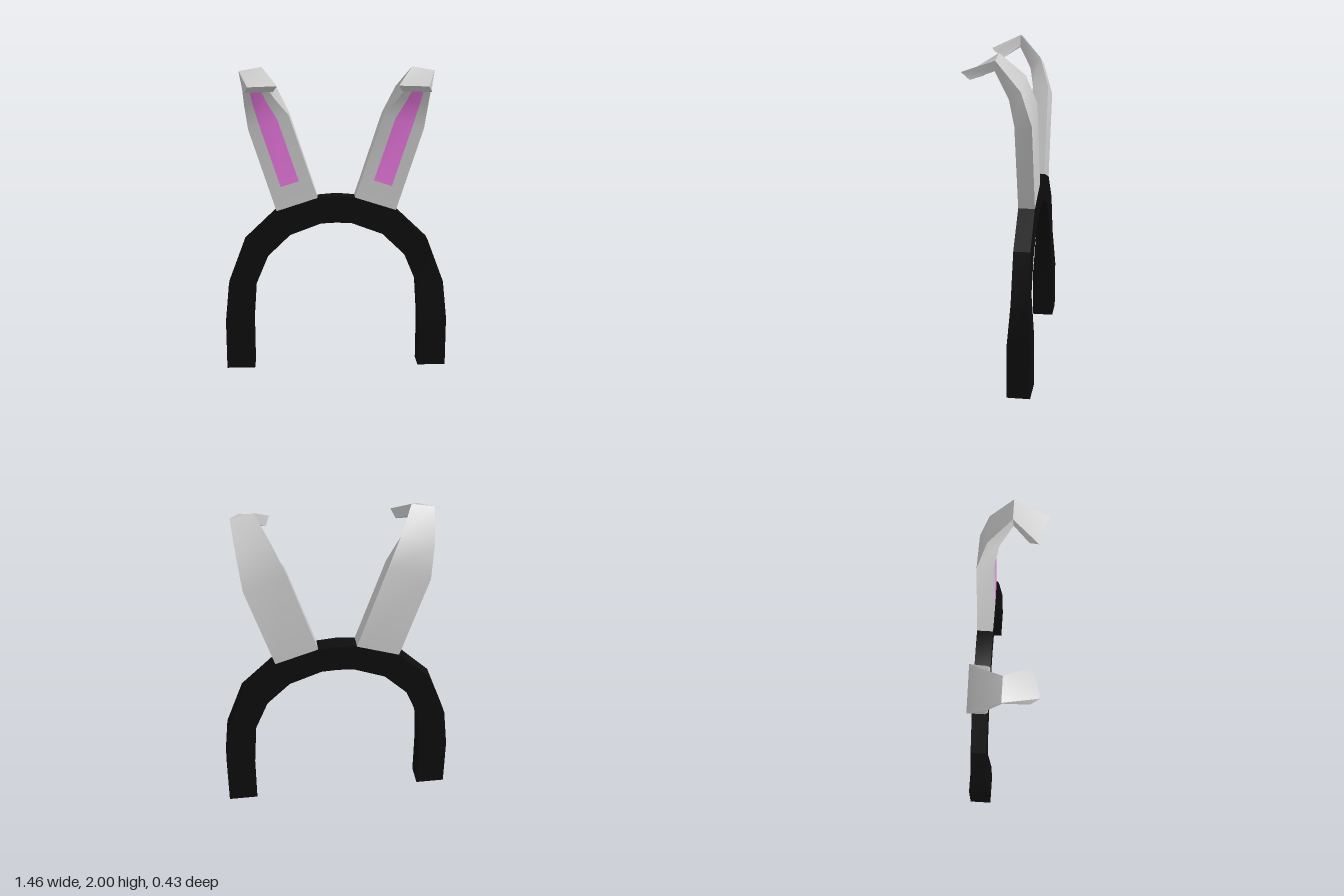
import * as THREE from 'three';
import { toCreasedNormals } from 'three/addons/utils/BufferGeometryUtils.js';

const grey = new THREE.MeshStandardMaterial({ color: 0xcccccc });
const black = new THREE.MeshStandardMaterial({ color: 0x0d0d0d });
const pink = new THREE.MeshStandardMaterial({ color: 0xea78e0, side: THREE.DoubleSide });

// Skin a row of cross-sections; closed sections get side walls all round and end caps
function loft(sections, closed, crease = 0.7) {
  const pos = [];
  const quad = (a, b, c, d) => pos.push(...a, ...b, ...c, ...a, ...c, ...d);
  const n = sections[0].length;
  for (let i = 0; i < sections.length - 1; i++) {
    const s = sections[i], t = sections[i + 1];
    for (let j = 0; j < (closed ? n : n - 1); j++) {
      const k = (j + 1) % n;
      quad(s[j], s[k], t[k], t[j]);
    }
  }
  if (closed) {
    quad(...[...sections[0]].reverse());
    quad(...sections[sections.length - 1]);
  }
  const g = new THREE.BufferGeometry();
  g.setAttribute('position', new THREE.Float32BufferAttribute(pos, 3));
  return toCreasedNormals(g, crease);
}

const mirror = (sections) => sections.map((s) => s.map(([x, y, z]) => [-x, y, z]).reverse());
const lerp = (a, b, t) => a.map((v, i) => v + (b[i] - v) * t);

function part(name, geometry, material) {
  const m = new THREE.Mesh(geometry, material);
  m.name = name;
  return m;
}

// Arched band: inner x, y, outer x, y, half depth from the foot to the crown
function headband() {
  const half = [
    [0.545, 0, 0.73, 0, 0.07], [0.545, 0.32, 0.73, 0.33, 0.07], [0.525, 0.58, 0.705, 0.58, 0.05],
    [0.445, 0.77, 0.595, 0.87, 0.05], [0.30, 0.91, 0.385, 1.07, 0.05], [0.10, 0.985, 0.12, 1.155, 0.05],
  ];
  const stations = [
    ...half,
    [0, 0.99, 0, 1.165, 0.05],
    ...[...half].reverse().map(([a, b, c, d, h]) => [-a, b, -c, d, h]),
  ];
  const zc = -0.145;
  const sections = stations.map(([ix, iy, ox, oy, h]) => [
    [ix, iy, zc + h], [ox, oy, zc + h], [ox, oy, zc - h], [ix, iy, zc - h],
  ]);
  return part('headband', loft(sections, true, 0.3), black);
}

// Ear sections: inner front, outer front, outer back, inner back
const earSections = [
  [[0.12, 1.155, -0.095], [0.385, 1.07, -0.095], [0.385, 1.07, -0.195], [0.12, 1.155, -0.195]],
  [[0.30, 1.69, -0.095], [0.555, 1.60, -0.095], [0.555, 1.60, -0.195], [0.295, 1.69, -0.195]],
  [[0.39, 1.80, -0.068], [0.575, 1.755, -0.068], [0.58, 1.80, -0.135], [0.375, 1.865, -0.135]],
  [[0.46, 1.925, 0.01], [0.585, 1.915, 0.01], [0.60, 1.975, 0.005], [0.46, 2.0, 0.005]],
  [[0.39, 1.86, 0.105], [0.565, 1.86, 0.155], [0.54, 1.90, 0.21], [0.365, 1.90, 0.16]],
];

// Coloured strip lying just in front of the ear, from above the base to the fold
const rows = earSections.slice(0, 4).map(([a, b]) =>
  [lerp(a, b, 0.28), lerp(a, b, 0.72)].map(([x, y, z]) => [x, y - 0.002, z + 0.006]));
rows[0] = rows[0].map((p, i) => lerp(p, rows[1][i], 0.26));

export function createModel() {
  const model = new THREE.Group();
  model.name = 'earHeadband';
  model.add(headband());
  for (const side of ['left', 'right']) {
    const place = (s) => (side === 'left' ? s : mirror(s));
    const ear = new THREE.Group();
    ear.name = side + 'Ear';
    ear.add(part(side + 'EarShell', loft(place(earSections), true), grey));
    ear.add(part(side + 'InnerEar', loft(place(rows), false), pink));
    model.add(ear);
  }
  return model;
}
